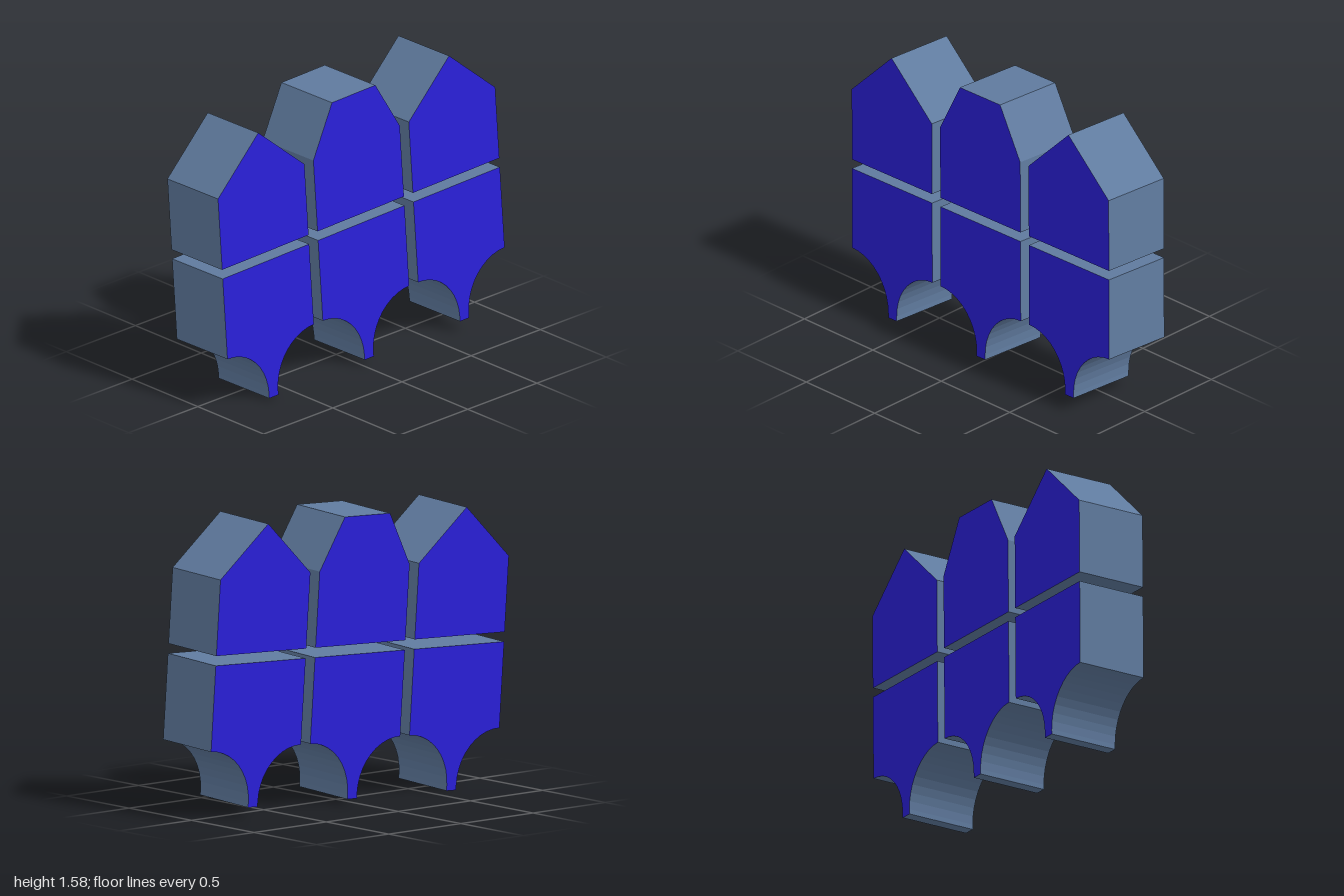
import * as THREE from 'three';

const DEPTH = 0.4, HALF = 0.303, PITCH = 0.669;

const faceMaterial = new THREE.MeshStandardMaterial({ color: 0x2a1fd8 });
const sideMaterial = new THREE.MeshStandardMaterial({ color: 0x607b9f });

// Extruded prism from an outline, coloured faces and lighter sides
function prism(name, points, x) {
  const shape = new THREE.Shape(points.map(([px, py]) => new THREE.Vector2(px, py)));
  const geometry = new THREE.ExtrudeGeometry(shape, { depth: DEPTH, bevelEnabled: false });
  geometry.translate(0, 0, -DEPTH / 2);
  const mesh = new THREE.Mesh(geometry, [faceMaterial, sideMaterial]);
  mesh.name = name;
  mesh.position.x = x;
  return mesh;
}

// Upper block: square base with a pointed or a cut-off top
function upperOutline(topHalf) {
  const base = [[-HALF, 0.072], [HALF, 0.072], [HALF, 0.477]];
  const top = topHalf ? [[topHalf, 0.758], [-topHalf, 0.758]] : [[0, 0.756]];
  return [...base, ...top, [-HALF, 0.477]];
}

// Lower block: square top, concave quarter curves running down to a narrow tip
function lowerOutline() {
  const tip = 0.032, shoulder = -0.439, curveEnd = -0.725, steps = 10;
  const right = [[tip, -0.752]];
  for (let i = 0; i <= steps; i++) {
    const a = (i / steps) * Math.PI / 2;
    right.push([
      HALF - (HALF - tip) * Math.cos(a),
      curveEnd + (shoulder - curveEnd) * Math.sin(a),
    ]);
  }
  right.push([HALF, 0.02]);
  const left = right.map(([x, y]) => [-x, y]).reverse();
  return [...right, ...left];
}

export function createModel() {
  const model = new THREE.Group();
  model.name = 'blockPanel';

  // Three columns, each an upper and a lower block, on a slight tilt
  const blocks = new THREE.Group();
  blocks.name = 'tiltedBlocks';
  ['right', 'middle', 'left'].forEach((side, i) => {
    const x = (i - 1) * PITCH;
    blocks.add(prism(side + 'UpperBlock', upperOutline(i === 1 ? 0.152 : 0), x));
    blocks.add(prism(side + 'LowerBlock', lowerOutline(), x));
  });
  blocks.rotation.set(-0.035, -0.035, 0.04);
  blocks.position.y = 0.785;
  model.add(blocks);

  // Stand on the ground, centred
  const box = new THREE.Box3().setFromObject(model, true);
  const centre = box.getCenter(new THREE.Vector3());
  blocks.position.x -= centre.x;
  blocks.position.z -= centre.z;
  blocks.position.y -= box.min.y;
  return model;
}
